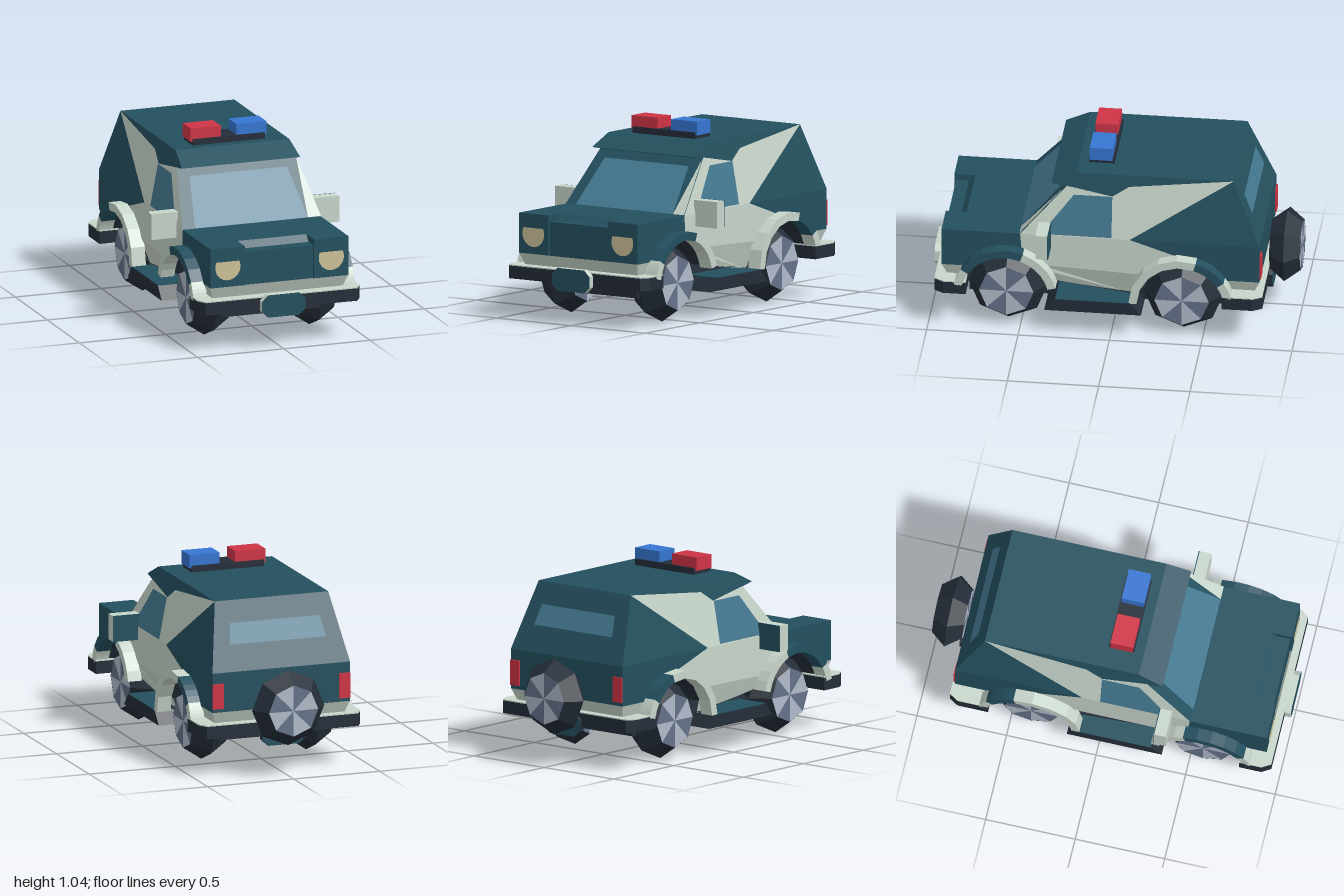
import * as THREE from 'three';

const mat = (name, color, double = true) => {
  const m = new THREE.MeshStandardMaterial({ color, flatShading: true });
  m.name = name;
  if (double) m.side = THREE.DoubleSide;
  return m;
};

export function createModel() {
  const teal = mat('teal paint', 0x24505f), cream = mat('cream paint', 0xc8d6cb);
  const black = mat('black rubber', 0x242d38), glass = mat('window glass', 0x457a92);
  const red = mat('red lamp', 0xcf3446), blue = mat('blue lamp', 0x3676d2);
  const lamp = mat('headlight', 0xcdc298);
  const hubLight = mat('light hub', 0xb2bbca), hubDark = mat('dark hub', 0x66728a);

  const model = new THREE.Group();
  const add = (name, geo, material, parent = model) => {
    const m = new THREE.Mesh(geo, material);
    m.name = name;
    parent.add(m);
    return m;
  };
  const box = (name, material, x0, x1, y0, y1, z0, z1) =>
    add(name, new THREE.BoxGeometry(x1 - x0, y1 - y0, z1 - z0), material)
      .position.set((x0 + x1) / 2, (y0 + y1) / 2, (z0 + z1) / 2);
  const shape = pts => new THREE.Shape(pts.map(p => new THREE.Vector2(p[0], p[1])));

  // half width of the body at height y
  const halfW = y => y > 0.58 ? 0.4 - (y - 0.58) * 0.192 : y < 0.36 ? 0.4 - (0.36 - y) * 0.35 : 0.4;

  // flat face from 3D corners, counter-clockwise from outside
  const face = (name, material, pts) => {
    const pos = [];
    for (let i = 1; i < pts.length - 1; i++) pos.push(...pts[0], ...pts[i], ...pts[i + 1]);
    const g = new THREE.BufferGeometry();
    g.setAttribute('position', new THREE.Float32BufferAttribute(pos, 3));
    g.computeVertexNormals();
    add(name, g, material);
  };
  // faces spanning the body between successive [z, y] points
  const strip = (name, material, pts, w = halfW) => {
    for (let i = 0; i < pts.length - 1; i++) {
      const [z0, y0] = pts[i], [z1, y1] = pts[i + 1];
      face(name, material, [[-w(y0), y0, z0], [w(y0), y0, z0], [w(y1), y1, z1], [-w(y1), y1, z1]]);
    }
  };
  // side panels from [z, y] outlines, wrapped on the body slope
  const panel = (name, material, pts, off = 0) => {
    for (const s of [1, -1]) {
      const g = new THREE.ShapeGeometry(shape(pts.map(([z, y]) => [-s * z, y]))).toNonIndexed();
      const p = g.attributes.position;
      for (let i = 0; i < p.count; i++)
        p.setXYZ(i, s * (halfW(p.getY(i)) + off), p.getY(i), -s * p.getX(i));
      g.computeVertexNormals();
      add(name, g, material);
    }
  };
  // extrude a [z, y] outline across x
  const across = (name, material, pts, x0, x1) => {
    const g = new THREE.ExtrudeGeometry(shape(pts), { depth: x1 - x0, bevelEnabled: false });
    add(name, g.rotateY(-Math.PI / 2).translate(x1, 0, 0), material);
  };
  const arc = (zc, a0, a1, r = 0.25, n = 6) => Array.from({ length: n + 1 }, (_, i) => {
    const a = a0 + (a1 - a0) * i / n;
    return [zc + r * Math.cos(a), 0.22 + r * Math.sin(a)];
  });
  const F = 0.575, R = -0.385;

  // lower body sides with wheel cut-outs
  panel('frontWing', teal, [[0.93, 0.36], [0.93, 0.58], [0.5, 0.58], ...arc(F, 1.918, 0.594)]);
  panel('frontSkirt', cream, [[0.9, 0.29], [0.93, 0.36], ...arc(F, 0.594, 0.284)]);
  panel('door', cream, [[0.5, 0.58], ...arc(F, 1.918, 2.857), [-0.1, 0.22], ...arc(R, 0, 1.87), [-0.1, 0.58]]);
  panel('rearWing', teal, [[-0.1, 0.58], ...arc(R, 1.87, 2.548), [-0.81, 0.36], [-0.81, 0.58]]);
  panel('rearSkirt', cream, [...arc(R, 2.548, 2.857), [-0.78, 0.29], [-0.81, 0.36]]);

  // cabin sides
  panel('cabinSide', cream, [[0.5, 0.58], [0.25, 0.867], [0, 0.82], [-0.09, 0.88], [-0.66, 0.945], [-0.1, 0.58]]);
  panel('cabinTopSide', teal, [[0.335, 0.877], [0.2, 0.945], [-0.66, 0.945], [-0.09, 0.88], [0, 0.82]]);
  panel('cabinRearSide', teal, [[-0.66, 0.945], [-0.1, 0.58], [-0.81, 0.58]]);
  panel('sideWindow', glass, [[0.21, 0.82], [0, 0.82], [0, 0.587], [0.34, 0.587], [0.34, 0.65]], 0.004);

  // front, hood, windscreen, roof and back
  strip('frontSkirt', cream, [[0.9, 0.29], [0.93, 0.36]]);
  strip('grille', teal, [[0.92, 0.36], [0.92, 0.545], [0.85, 0.545], [0.815, 0.58]], () => 0.2);
  for (const s of [1, -1])
    box('lampHousing', teal, s > 0 ? 0.2 : -0.4, s > 0 ? 0.4 : -0.2, 0.36, 0.58, 0.81, 0.93);
  strip('hood', teal, [[0.815, 0.58], [0.5, 0.58]]);
  strip('windscreenFrame', teal, [[0.5, 0.58], [0.25, 0.867]]);
  strip('visor', teal, [[0.25, 0.86], [0.335, 0.877], [0.2, 0.945]]);
  strip('roof', teal, [[0.2, 0.945], [-0.66, 0.945]]);
  strip('back', teal, [[-0.66, 0.945], [-0.81, 0.58], [-0.81, 0.36]]);
  strip('rearSkirt', cream, [[-0.81, 0.36], [-0.78, 0.29]]);

  const front = (x, y) => [x, y, 0.506 - (y - 0.58) * 0.871];
  const rear = (x, y) => [x, y, -0.665 - (0.945 - y) * 0.411];
  face('windscreen', glass, [front(-0.33, 0.583), front(0.325, 0.583), front(0.28, 0.82), front(-0.285, 0.82)]);
  face('pillarPaint', cream, [front(0.325, 0.583), front(0.4, 0.583), front(0.346, 0.862)]);
  face('rearWindow', glass, [rear(0.28, 0.72), rear(-0.28, 0.72), rear(-0.26, 0.83), rear(0.26, 0.83)]);

  // wheel arches, painted in sections
  const arches = [
    [F, [[0.2, 0.56, cream], [0.56, 1.92, teal], [1.92, 2.9, cream]]],
    [R, [[0, 1.87, cream], [1.87, 2.55, teal], [2.55, 2.92, cream]]],
  ];
  for (const [zc, parts] of arches) {
    for (const [a0, a1, m] of parts)
      for (const x of [0.39, -0.47])
        across('wheelArch', m, [...arc(zc, a0, a1, 0.285, 5), ...arc(zc, a1, a0, 0.24, 5)], x, x + 0.08);
    strip('wheelWell', black, arc(zc, 0.284, 2.857, 0.25, 8), () => 0.39);
  }

  // floor, chassis and sills
  strip('floor', black, [[0.34, 0.285], [-0.14, 0.225]], () => 0.37);
  box('chassis', black, -0.29, 0.29, 0.15, 0.22, -0.6, 0.79);
  for (const x of [0.28, -0.47]) {
    across('sill', black, [[0.36, 0.15], [0.3, 0.22], [-0.11, 0.22], [-0.17, 0.15]], x, x + 0.19);
    box('sillTop', teal, x, x + 0.19, 0.22, 0.224, -0.11, 0.3);
  }

  // bumpers with a cream cap
  for (const [s, z0, z1] of [[1, 0.79, 0.965], [-1, 0.61, 0.83]]) {
    const pts = [[-0.47, z0], [0.47, z0], [0.47, z1 - 0.05], [0.44, z1], [-0.44, z1], [-0.47, z1 - 0.05]];
    const outline = shape(pts.map(([x, z]) => [x, -s * z]));
    for (const [name, m, y, depth] of [['bumper', black, 0.22, 0.07], ['bumperCap', cream, 0.29, 0.006]]) {
      const g = new THREE.ExtrudeGeometry(outline, { depth, bevelEnabled: false });
      add(name, g.rotateX(-Math.PI / 2).translate(0, y, 0), m);
    }
  }

  // eight-sided plates on both bumpers
  const oct = [[-0.09, -0.063], [0.09, -0.063], [0.125, -0.03], [0.125, 0.03],
    [0.09, 0.063], [-0.09, 0.063], [-0.125, 0.03], [-0.125, -0.03]];
  for (const [y, z, edge] of [[0.247, 0.965, cream], [0.222, -0.85, black]]) {
    const g = new THREE.ExtrudeGeometry(shape(oct), { depth: 0.035, bevelEnabled: false });
    add('bumperPlate', g, [teal, edge]).position.set(0, y, z);
  }

  // headlights, tail lights and mirrors
  for (const s of [1, -1]) {
    const disc = new THREE.Shape();
    disc.absarc(0, 0, 0.073, Math.PI - 0.45, Math.PI * 2 + 0.45);
    add('headlight', new THREE.ShapeGeometry(disc, 16), lamp).position.set(s * 0.3, 0.472, 0.935);
    const span = (a, b) => s > 0 ? [a, b] : [-b, -a];
    box('tailLight', red, ...span(0.335, 0.4), 0.38, 0.52, -0.818, -0.81);
    box('mirror', cream, ...span(0.39, 0.545), 0.51, 0.655, 0.335, 0.4);
    box('mirrorBack', teal, ...span(0.39, 0.545), 0.51, 0.655, 0.33, 0.335);
  }

  // roof light bar
  box('lightBarBase', black, -0.21, 0.21, 0.945, 0.98, 0.005, 0.145);
  box('redLight', red, -0.22, -0.045, 0.965, 1.04, 0.015, 0.14);
  box('blueLight', blue, 0.045, 0.22, 0.965, 1.04, 0.015, 0.14);

  // wheels: eight-sided tyre with a two-tone hub on each side
  const wheel = (name, x, y, z) => {
    const w = new THREE.Group();
    w.name = name;
    const profile = [[0.15, -0.105], [0.22, 0], [0.15, 0.105]].map(p => new THREE.Vector2(...p));
    const tyre = new THREE.LatheGeometry(profile, 8).toNonIndexed();
    tyre.computeVertexNormals();
    add('tyre', tyre.rotateX(Math.PI / 2), black, w);
    for (const s of [1, -1]) {
      const hub = new THREE.CircleGeometry(0.15, 8);
      for (let i = 0; i < 8; i++) hub.addGroup(i * 3, 3, i % 2);
      const m = add('hub', hub, [hubLight, hubDark], w);
      m.position.z = s * 0.104;
      if (s < 0) m.rotation.y = Math.PI;
    }
    w.position.set(x, y, z);
    model.add(w);
    return w;
  };
  for (const x of [0.305, -0.305])
    for (const z of [F, R]) wheel('wheel', x, 0.22, z).rotation.y = Math.PI / 2;
  wheel('spareWheel', 0, 0.38, -0.916).scale.set(0.955, 0.955, 0.8);

  return model;
}
